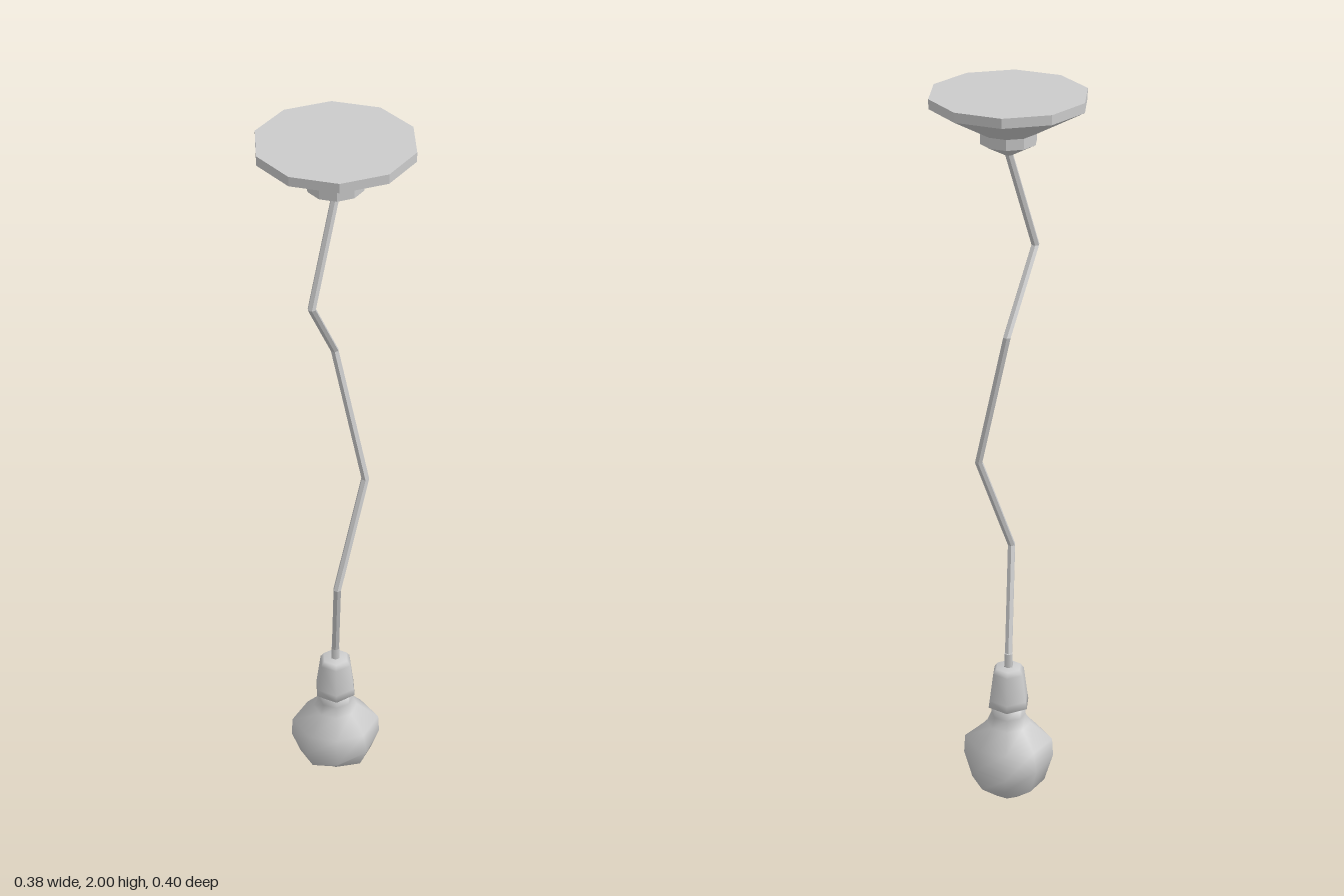
import * as THREE from 'three';

const makeMaterial = (flatShading) => new THREE.MeshStandardMaterial({ color: 0xcccccc, flatShading });

// Skin over rings of points listed from bottom to top, closed at both ends
function loft(rings) {
  const n = rings[0].length, pos = [], idx = [];
  rings.forEach((ring) => ring.forEach((p) => pos.push(p.x, p.y, p.z)));
  for (let r = 0; r < rings.length - 1; r++) {
    for (let i = 0; i < n; i++) {
      const a = r * n + i, b = r * n + (i + 1) % n;
      idx.push(a, b, b + n, a, b + n, a + n);
    }
  }
  const addCap = (start, ring, up) => {
    const c = ring.reduce((s, p) => s.add(p), new THREE.Vector3()).divideScalar(n);
    const centre = pos.length / 3;
    pos.push(c.x, c.y, c.z);
    for (let i = 0; i < n; i++) {
      const a = start + i, b = start + (i + 1) % n;
      idx.push(centre, up ? a : b, up ? b : a);
    }
  };
  addCap(0, rings[0], false);
  addCap((rings.length - 1) * n, rings[rings.length - 1], true);
  const geo = new THREE.BufferGeometry();
  geo.setAttribute('position', new THREE.Float32BufferAttribute(pos, 3));
  geo.setIndex(idx);
  geo.computeVertexNormals();
  return geo;
}

// Angles start at +z and turn towards +x
function makeRing(sides, pointAt) {
  return Array.from({ length: sides }, (_, i) => pointAt((i / sides) * Math.PI * 2));
}

function lathe(profile, sides) {
  return new THREE.LatheGeometry(profile.map(([r, y]) => new THREE.Vector2(r, y)), sides);
}

export function createModel() {
  const group = new THREE.Group();
  const flat = makeMaterial(true), smooth = makeMaterial(false);
  const add = (name, geo, mat) => {
    const mesh = new THREE.Mesh(geo, mat);
    mesh.name = name;
    group.add(mesh);
  };

  // Ten-sided ceiling plate with its sloping underside
  add('ceilingCanopy', lathe([[0, 1.905], [0.072, 1.905], [0.2, 1.975], [0.2, 2], [0, 2]], 10), flat);
  // Collar and cone where the cord leaves the plate
  add('canopyCollar', lathe([[0, 1.84], [0.012, 1.845], [0.072, 1.877], [0.072, 1.907]], 10), flat);

  // Kinked hanging cord
  const knees = [
    [0, 0.42, 0], [0, 0.71, 0.1], [0.078, 1, 0], [0, 1.375, -0.045], [-0.062, 1.58, 0.08], [0, 1.85, 0],
  ];
  const cordRings = knees.map(([x, y, z]) => makeRing(6, (a) =>
    new THREE.Vector3(x + 0.011 * Math.sin(a), y, z + 0.011 * Math.cos(a))));
  add('cord', loft(cordRings), flat);

  // Cord grip and lamp socket
  add('cordGrip', new THREE.CylinderGeometry(0.012, 0.013, 0.045, 6).translate(0, 0.408, 0), smooth);
  add('socket', lathe([[0.046, 0.272], [0.06, 0.274], [0.057, 0.295], [0.046, 0.375], [0.036, 0.389], [0, 0.391]], 6), smooth);
  add('socketUnderside', new THREE.CircleGeometry(0.059, 6, Math.PI / 2).rotateX(Math.PI / 2).translate(0, 0.273, 0), flat);

  // Uneven bulb: side radius, front radius, diagonal radius, height, height change at the sides, z shift
  const sections = [
    [0.04, 0.04, 0.04, 0.005, 0, -0.015],
    [0.1, 0.076, 0.094, 0.045, 0, -0.01],
    [0.123, 0.121, 0.117, 0.11, 0.008, 0],
    [0.12, 0.092, 0.106, 0.167, 0.003, 0],
    [0.06, 0.06, 0.06, 0.22, 0, 0],
    [0.047, 0.05, 0.049, 0.25, 0, 0],
    [0.047, 0.05, 0.049, 0.285, 0, 0],
  ];
  const bulbRings = sections.map(([side, front, diagonal, y, lift, shift]) => makeRing(8, (a) => {
    const s = Math.sin(a), c = Math.cos(a);
    const r = Math.abs(s * c) > 0.1 ? diagonal : Math.abs(s) > 0.5 ? side : front;
    return new THREE.Vector3(r * s, y + lift * (s * s - c * c), r * c + shift);
  }));
  add('bulb', loft(bulbRings), smooth);

  // Rest the bulb exactly on the base plane
  const bulb = group.getObjectByName('bulb');
  bulb.geometry.computeBoundingBox();
  bulb.position.y = -bulb.geometry.boundingBox.min.y;
  return group;
}
